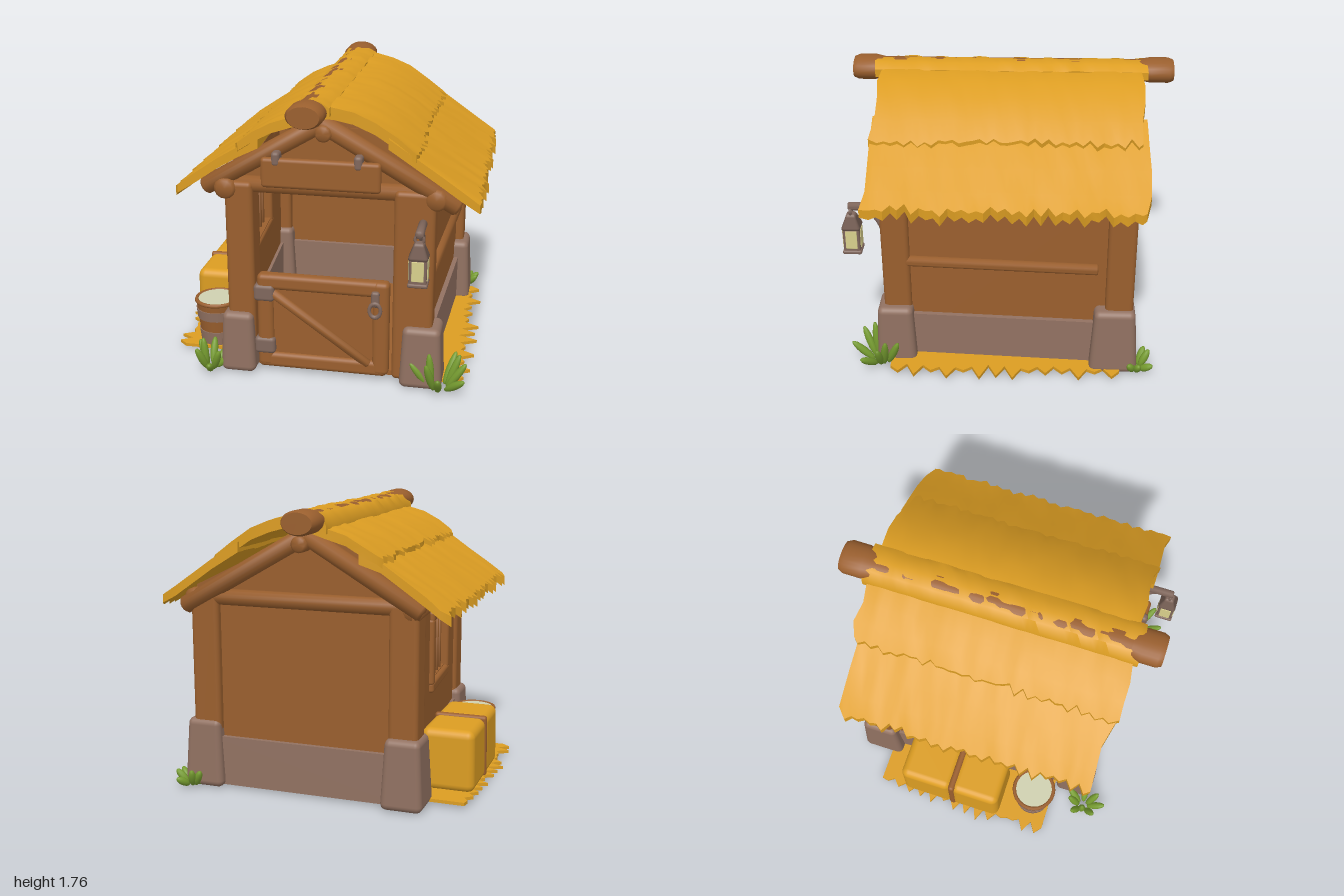
import * as THREE from 'three';
import { toCreasedNormals } from 'three/addons/utils/BufferGeometryUtils.js';
import { RoundedBoxGeometry } from 'three/addons/geometries/RoundedBoxGeometry.js';

const V = (x, y, z) => new THREE.Vector3(x, y, z);
const noise = (i) => { const s = Math.sin(i * 127.1 + 3.7) * 43758.545; return s - Math.floor(s); };

export function createModel() {
  const root = new THREE.Group();
  const mat = (name, color) => { const m = new THREE.MeshStandardMaterial({ color }); m.name = name; return m; };
  const thatch = mat('thatch', 0xdc9d22), wood = mat('wood', 0x9a5f2e), stone = mat('stone', 0x927262);
  const metal = mat('metal', 0x80675c), leaf = mat('leaf', 0x769c30), glow = mat('glow', 0xd9d08c), milk = mat('feed', 0xcfd0b0);

  const add = (name, geo, m, x = 0, y = 0, z = 0) => {
    const mesh = new THREE.Mesh(geo, m);
    mesh.name = name;
    mesh.position.set(x, y, z);
    root.add(mesh);
    return mesh;
  };
  // Soft-edged block; taper scales its top end
  const block = (name, m, w, h, d, x, y, z, taper = 1, r = 0.03) => {
    const g = new RoundedBoxGeometry(w, h, d, 3, Math.min(r, w * 0.45, h * 0.45, d * 0.45));
    const p = g.attributes.position;
    if (taper !== 1) for (let i = 0; i < p.count; i++) {
      const k = 1 + (taper - 1) * (p.getY(i) / h + 0.5);
      p.setX(i, p.getX(i) * k);
      p.setZ(i, p.getZ(i) * k);
    }
    return add(name, g, m, x, y, z);
  };
  // Round timber between two points
  const log = (name, m, a, b, r) => {
    const c = r * 0.25, L = a.distanceTo(b);
    const pts = [[0, 0], [r - c, 0], [r, c], [r, L - c], [r - c, L], [0, L]].map(p => new THREE.Vector2(...p));
    const mesh = add(name, toCreasedNormals(new THREE.LatheGeometry(pts, 14), 0.9), m, a.x, a.y, a.z);
    mesh.quaternion.setFromUnitVectors(V(0, 1, 0), b.clone().sub(a).normalize());
    return mesh;
  };
  // Straight wall between two plan points [x, z], optional window [s0, s1, y0, y1]
  const wall = (name, m, a, b, y0, y1, t, win) => {
    const dx = b[0] - a[0], dz = b[1] - a[1], h = Math.hypot(dx, dz) / 2;
    const rect = (S, l, r, bo, to) => S.moveTo(l, bo).lineTo(r, bo).lineTo(r, to).lineTo(l, to).closePath();
    const s = rect(new THREE.Shape(), -h, h, y0, y1);
    if (win) s.holes.push(rect(new THREE.Path(), ...win));
    const g = new THREE.ExtrudeGeometry(s, { depth: t, bevelEnabled: false }).translate(0, 0, -t / 2);
    const mesh = add(name, g, m, (a[0] + b[0]) / 2, 0, (a[1] + b[1]) / 2);
    mesh.rotation.y = Math.atan2(-dz, dx);
    return mesh;
  };

  // Floor, walls and stone plinths
  const FL = [-0.47, 0.68], FR = [0.65, 0.68], BL = [-0.57, -0.69], BR = [0.72, -0.69];
  const plan = new THREE.Shape([FL, BL, BR, FR].map(p => new THREE.Vector2(p[0], -p[1])));
  add('floor', new THREE.ExtrudeGeometry(plan, { depth: 0.03, bevelEnabled: false }).rotateX(-Math.PI / 2), wood, 0, 0.015, 0);
  wall('rightWall', wood, FR, BR, 0.05, 1.27, 0.06);
  wall('backWall', wood, BL, BR, 0.05, 1.2, 0.06);
  wall('leftWall', wood, BL, FL, 0.05, 1.25, 0.06, [-0.2, 0.24, 0.66, 1.04]);
  wall('rightPlinth', stone, FR, BR, 0.02, 0.33, 0.12);
  wall('backPlinth', stone, BL, BR, 0.02, 0.33, 0.12);
  wall('leftPlinth', stone, BL, FL, 0.02, 0.33, 0.1);
  log('rightRail', wood, V(0.685, 0.7, 0.62), V(0.75, 0.7, -0.55), 0.035);

  // Barred window
  const frame = (s, y, w, h) => {
    const m = block('windowFrame', wood, 0.1, h, w, -0.522 - 0.073 * (0.07 - s), y, s, 1, 0.02);
    m.rotation.y = 0.073;
  };
  for (const y of [0.62, 1.07]) frame(0.02, y, 0.56, 0.07);
  for (const s of [-0.23, 0.27]) frame(s, 0.845, 0.07, 0.42);
  for (let i = 0; i < 4; i++) {
    const z = -0.11 + i * 0.087, x = -0.525 - 0.073 * (0.07 - z);
    log('windowBar', wood, V(x, 0.64, z), V(x, 1.06, z), 0.014);
  }

  // Corner posts on stone footings
  block('frontLeftPost', wood, 0.17, 1.2, 0.17, -0.445, 0.63, 0.675);
  block('frontRightPost', wood, 0.24, 1.2, 0.17, 0.6, 0.63, 0.675);
  block('backLeftPost', wood, 0.18, 1.2, 0.17, -0.55, 0.63, -0.685);
  block('backRightPost', wood, 0.18, 1.2, 0.17, 0.71, 0.63, -0.685);
  block('footing', stone, 0.22, 0.39, 0.25, -0.465, 0.205, 0.69, 0.86, 0.04);
  block('footing', stone, 0.26, 0.39, 0.25, 0.66, 0.2, 0.69, 0.86, 0.04);
  block('footing', stone, 0.26, 0.43, 0.28, -0.555, 0.225, -0.69, 0.82, 0.04);
  block('footing', stone, 0.26, 0.43, 0.3, 0.73, 0.225, -0.66, 0.82, 0.04);

  // Gables, rafters, plates and ridge beam
  for (const [z, l, r] of [[0.66, -0.5, 0.7], [-0.69, -0.6, 0.78]]) {
    const tri = new THREE.Shape([[l, 1.15], [r, 1.15], [r, 1.27], [0.05, 1.63], [l, 1.27]].map(p => new THREE.Vector2(...p)));
    add('gable', new THREE.ExtrudeGeometry(tri, { depth: 0.04, bevelEnabled: false }), wood, 0, 0, z - 0.02);
    log('tieBeam', wood, V(l - 0.03, 1.205, z + Math.sign(z) * 0.03), V(r + 0.03, 1.205, z + Math.sign(z) * 0.03), 0.05);
    log('rafter', wood, V(0.05, 1.6, z * 1.08), V(-0.66, 1.18, z * 1.08), 0.055);
    log('rafter', wood, V(0.03, 1.61, z * 1.08), V(0.85, 1.14, z * 1.08), 0.055);
    log('ridgePeg', wood, V(0.07, 1.55, z), V(0.07, 1.55, z * 1.18), 0.05);
  }
  log('leftPlate', wood, V(-0.52, 1.19, 0.78), V(-0.6, 1.19, -0.77), 0.065);
  log('rightPlate', wood, V(0.72, 1.19, 0.77), V(0.78, 1.19, -0.77), 0.065);
  for (const z of [0.69, 0.08, -0.1, -0.69]) log('rafterEnd', wood, V(0.6, 1.27, z), V(0.84, 1.13, z), 0.042);
  const ridge = [[0, -1], [0.85, -1], [1, -0.97], [1, -0.86], [0.82, -0.78], [0.82, 0.78], [1, 0.84], [1, 0.94], [0.85, 0.97], [0, 0.97]];
  const ridgeGeo = new THREE.LatheGeometry(ridge.map(p => new THREE.Vector2(...p)), 24).rotateX(Math.PI / 2).scale(0.108, 0.073, 1);
  add('ridgeBeam', toCreasedNormals(ridgeGeo, 0.9), wood, 0, 1.69, 0);

  // Thatch layer: profile from right to left, with ragged lower edge and ends
  let seed = 0;
  const layer = (name, pts, thick, half, eave) => {
    const n = pts.length, nz = 40, pos = [], idx = [], N = 2 * n;
    seed += 1000;
    for (let i = 0; i <= nz; i++) for (let k = 0; k < N; k++) {
      const j = k < n ? k : N - 1 - k, under = k >= n;
      let [x, y] = pts[j], z = -half + 2 * half * i / nz;
      y += 0.012 * (noise(seed + j * 60 + (i >> 1)) - 0.5) - (under ? thick : 0);
      if (i === 0 || i === nz) z += 0.04 * (noise(seed + j * 7 + i) - 0.5);
      if (j === eave) {
        const w = 0.035 * (noise(seed + i) - 0.5) + (i % 2 ? 0.012 : -0.012);
        x += Math.sign(x) * w;
        y -= w * 0.7 + (under ? 0.01 * (i % 2) : 0.01);
      }
      pos.push(x, y, z);
    }
    const quad = (a, b, c, d) => idx.push(a, b, c, a, c, d);
    for (let i = 0; i < nz; i++) for (let k = 0; k < N; k++) {
      const l = (k + 1) % N;
      quad(i * N + k, i * N + l, (i + 1) * N + l, (i + 1) * N + k);
    }
    for (let j = 0; j < n - 1; j++) {
      const e = nz * N;
      quad(e + j, e + j + 1, e + N - 2 - j, e + N - 1 - j);
      quad(N - 1 - j, N - 2 - j, j + 1, j);
    }
    const g = new THREE.BufferGeometry();
    g.setAttribute('position', new THREE.Float32BufferAttribute(pos, 3));
    g.setIndex(idx);
    add(name, toCreasedNormals(g, 0.8), thatch);
  };
  layer('lowerThatchRight', [[0.97, 1.215], [0.87, 1.27], [0.74, 1.36], [0.62, 1.44], [0.45, 1.55]], 0.06, 0.81, 0);
  layer('upperThatchRight', [[0.61, 1.475], [0.5, 1.555], [0.37, 1.635], [0.25, 1.69], [0.13, 1.715], [0.0, 1.71]], 0.07, 0.8, 0);
  layer('lowerThatchLeft', [[-0.3, 1.52], [-0.42, 1.46], [-0.56, 1.37], [-0.7, 1.28], [-0.8, 1.215]], 0.06, 0.8, 4);
  layer('upperThatchLeft', [[0.02, 1.69], [-0.1, 1.655], [-0.22, 1.61], [-0.33, 1.555], [-0.42, 1.5]], 0.06, 0.82, 4);
  layer('ridgeThatch', [[0.12, 1.715], [0.07, 1.745], [0, 1.755], [-0.07, 1.735], [-0.115, 1.67]], 0.05, 0.84, -1);

  // Half door with frame, brace, hinges and latch ring
  block('doorPanel', wood, 0.8, 0.6, 0.05, 0.05, 0.345, 0.7);
  for (const y of [0.08, 0.6]) block('doorRail', wood, 0.8, 0.1, 0.08, 0.05, y, 0.71);
  for (const x of [-0.3, 0.41]) block('doorStile', wood, 0.1, 0.61, 0.085, x, 0.345, 0.71);
  log('doorBrace', wood, V(-0.26, 0.53, 0.725), V(0.34, 0.1, 0.725), 0.03);
  for (const y of [0.53, 0.18]) block('hinge', metal, 0.13, 0.11, 0.1, -0.305, y, 0.712, 1, 0.025);
  block('latchPlate', metal, 0.05, 0.1, 0.04, 0.38, 0.55, 0.755, 1, 0.015);
  add('latchRing', new THREE.TorusGeometry(0.034, 0.011, 8, 16), metal, 0.38, 0.485, 0.775).scale.y = 1.3;

  // Blank hanging board
  block('signBoard', wood, 0.7, 0.18, 0.05, 0.06, 1.315, 0.795, 1, 0.06);
  for (const x of [-0.2, 0.28]) block('signHook', metal, 0.05, 0.085, 0.08, x, 1.4, 0.785, 1, 0.02);

  // Lantern on a bracket
  log('lanternArm', metal, V(0.65, 1.05, 0.74), V(0.65, 1.05, 0.95), 0.025);
  const curve = new THREE.QuadraticBezierCurve3(V(0.65, 0.88, 0.745), V(0.65, 1.0, 0.77), V(0.65, 1.05, 0.87));
  add('lanternBrace', new THREE.TubeGeometry(curve, 10, 0.018, 8), metal);
  add('lanternRing', new THREE.TorusGeometry(0.025, 0.009, 6, 14), metal, 0.65, 1.02, 0.935);
  block('lanternBody', metal, 0.1, 0.17, 0.1, 0.65, 0.835, 0.935, 1.05, 0.012);
  block('lanternBase', metal, 0.115, 0.025, 0.115, 0.65, 0.758, 0.935, 1, 0.01);
  block('lanternCap', metal, 0.125, 0.1, 0.125, 0.65, 0.955, 0.935, 0.4, 0.02);
  for (let i = 0; i < 4; i++) {
    const a = i * Math.PI / 2;
    const pane = block('lanternPane', glow, 0.07, 0.12, 0.008, 0.65 + Math.sin(a) * 0.052, 0.845, 0.935 + Math.cos(a) * 0.052, 1, 0.003);
    pane.rotation.y = a;
  }

  // Loose straw with spiky outer edge
  for (const [side, inner, outer, z0, z1] of [[1, 0.6, 0.87, -0.7, 0.72], [-1, 0.5, 0.89, -0.62, 0.56]]) {
    const pts = [[inner, z0], [inner, z1]];
    for (let i = 0; i <= 28; i++) pts.push([outer + (i % 2 ? 0.1 * noise(i + side * 50) : -0.03 * noise(i)), z1 + (z0 - z1) * i / 28]);
    const s = new THREE.Shape(pts.map(([x, z]) => new THREE.Vector2(x * side, -z)));
    add('looseStraw', new THREE.ExtrudeGeometry(s, { depth: 0.02, bevelEnabled: false }).rotateX(-Math.PI / 2), thatch, 0, 0.022, 0);
  }

  // Hay bale with strap
  block('hayBale', thatch, 0.34, 0.39, 0.36, -0.735, 0.225, -0.275, 0.97, 0.05);
  block('hayBale', thatch, 0.34, 0.39, 0.34, -0.735, 0.225, 0.07, 0.97, 0.05);
  block('baleStrap', wood, 0.345, 0.395, 0.045, -0.735, 0.228, -0.09, 0.97, 0.02);

  // Banded bucket
  const rad = (y) => 0.105 + (y - 0.03) * 0.11;
  [[0.03, 0.13, stone], [0.13, 0.21, wood], [0.21, 0.275, stone], [0.275, 0.325, wood]].forEach(([a, b, m], i) => {
    const o = i % 2 ? 0 : 0.006;
    add('bucketBand', new THREE.CylinderGeometry(rad(b) + o, rad(a) + o, b - a, 24), m, -0.7, (a + b) / 2, 0.44);
  });
  add('bucketRim', new THREE.TorusGeometry(0.133, 0.013, 8, 24).rotateX(Math.PI / 2), wood, -0.7, 0.325, 0.44);
  add('bucketFeed', new THREE.CylinderGeometry(0.122, 0.122, 0.008, 24), milk, -0.7, 0.328, 0.44);

  // Grass tufts of fat leaning blades
  const tuft = (x, z, h, spread, count) => {
    for (let i = 0; i < count; i++) {
      const a = i * 2.4 + x * 5, lean = i === 0 ? 0.1 : 0.35 + 0.65 * noise(i + x * 10), L = h * (1 - 0.3 * lean);
      const g = new THREE.SphereGeometry(1, 10, 8).scale(0.024, L / 2, 0.024).translate(0, L / 2, 0).rotateZ(-lean).rotateY(a);
      add('grassBlade', g, leaf, x + Math.cos(a) * spread, 0.02, z - Math.sin(a) * spread);
    }
  };
  tuft(-0.64, 0.79, 0.2, 0.03, 8);
  tuft(0.77, 0.78, 0.25, 0.05, 11);
  tuft(0.8, -0.8, 0.15, 0.03, 8);
  return root;
}
